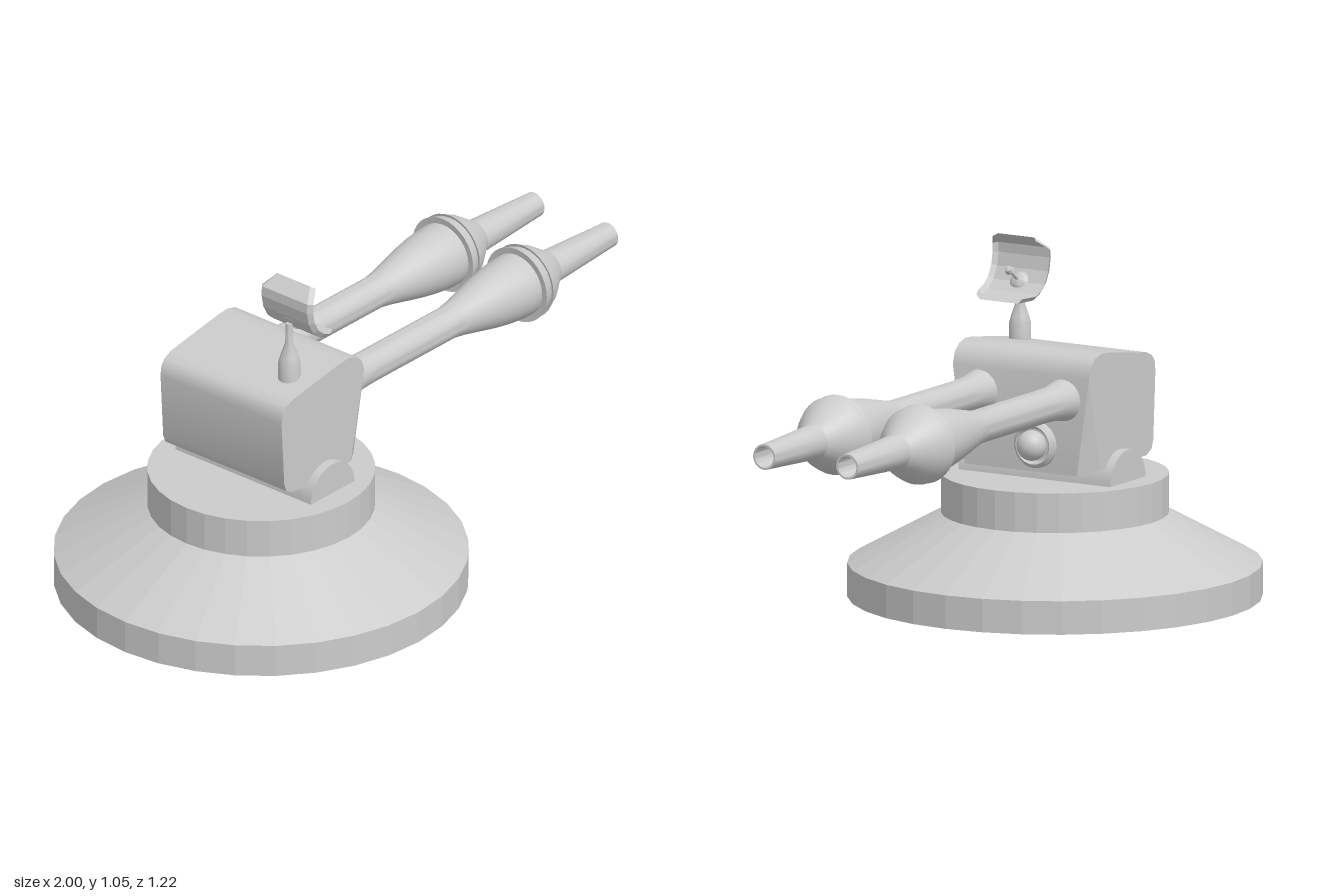
import * as THREE from 'three';
import { toCreasedNormals } from 'three/addons/utils/BufferGeometryUtils.js';

const smooth = new THREE.MeshStandardMaterial({ color: 0xcccccc, side: THREE.DoubleSide });
const flat = new THREE.MeshStandardMaterial({ color: 0xcccccc, side: THREE.DoubleSide, flatShading: true });

function add(parent, name, geometry, material = smooth) {
  const mesh = new THREE.Mesh(geometry, material);
  mesh.name = name;
  parent.add(mesh);
  return mesh;
}

// Lathe from [radius, height] pairs, with creases kept sharp
function turned(points, sides, crease = 0.5) {
  const profile = points.map(([r, h]) => new THREE.Vector2(r, h));
  return toCreasedNormals(new THREE.LatheGeometry(profile, sides), crease);
}

// Extrude an xy outline, centred on z = 0
function slab(points, width) {
  const shape = new THREE.Shape(points.map(([x, y]) => new THREE.Vector2(x, y)));
  const g = new THREE.ExtrudeGeometry(shape, { depth: width, bevelEnabled: false });
  return g.translate(0, 0, -width / 2);
}

// Bent sheet with folded side lips; rows are [x, y, half width]
function dishGeometry(rows, focus) {
  const positions = [], indices = [];
  rows.forEach(([x, y, w]) => {
    const toFocus = focus.clone().sub(new THREE.Vector2(x, y)).normalize().multiplyScalar(0.014);
    for (const [z, lip] of [[-w, 1], [-w + 0.012, 0], [w - 0.012, 0], [w, 1]]) {
      positions.push(x + toFocus.x * lip, y + toFocus.y * lip, z);
    }
  });
  for (let i = 0; i < rows.length - 1; i++) {
    for (let j = 0; j < 3; j++) {
      const a = i * 4 + j, b = a + 4;
      indices.push(a, a + 1, b, a + 1, b + 1, b);
    }
  }
  const g = new THREE.BufferGeometry();
  g.setAttribute('position', new THREE.Float32BufferAttribute(positions, 3));
  g.setIndex(indices);
  g.computeVertexNormals();
  return g;
}

export function createModel() {
  const model = new THREE.Group();
  model.name = 'turret';

  // Stepped round base
  const base = add(model, 'base', turned([
    [0, 0], [0.61, 0], [0.61, 0.1], [0.335, 0.25], [0.335, 0.368], [0, 0.368],
  ], 32, 0.01), flat);
  base.position.x = -0.39;

  // Half-round pivot running under the housing
  const arc = [];
  for (let i = 0; i <= 16; i++) {
    const a = (i / 16) * Math.PI;
    arc.push([-0.373 + 0.098 * Math.cos(a), 0.366 + 0.098 * Math.sin(a)]);
  }
  add(model, 'pivot', toCreasedNormals(slab(arc, 0.525), 0.5));

  // Housing, its lower front corners drawn inwards
  const housing = slab([
    [-0.2, 0.405], [-0.2, 0.7], [-0.212, 0.735], [-0.235, 0.755], [-0.27, 0.765], [-0.31, 0.762],
    [-0.52, 0.728], [-0.55, 0.715], [-0.566, 0.695], [-0.57, 0.665],
    [-0.558, 0.46], [-0.548, 0.435], [-0.52, 0.42], [-0.26, 0.417],
  ], 0.47);
  const p = housing.attributes.position;
  for (let i = 0; i < p.count; i++) {
    if (p.getX(i) > -0.21 && p.getY(i) < 0.41) p.setZ(i, p.getZ(i) * 0.82);
  }
  add(model, 'housing', toCreasedNormals(housing, 0.6));

  // Twin barrels with bulge, collar and hollow muzzle
  const barrel = turned([
    [0, -0.22], [0.066, -0.22], [0.06, -0.19], [0.052, -0.14], [0.05, -0.08], [0.05, 0.28],
    [0.056, 0.32], [0.069, 0.38], [0.082, 0.44], [0.092, 0.5], [0.098, 0.56], [0.098, 0.59],
    [0.118, 0.588], [0.108, 0.622], [0.116, 0.62], [0.097, 0.662], [0.052, 0.73], [0.038, 1],
    [0.032, 1], [0.026, 0.76], [0, 0.76],
  ], 32);
  barrel.rotateZ(-Math.PI / 2);
  for (const [name, z] of [['leftBarrel', -0.143], ['rightBarrel', 0.143]]) {
    add(model, name, barrel).position.set(0, 0.628, z);
  }

  // Sensor eye between the barrels
  const eye = new THREE.Group();
  eye.name = 'sensorEye';
  eye.position.set(-0.2, 0.488, -0.053);
  model.add(eye);
  const socket = turned([[0, -0.01], [0.07, -0.01], [0.07, 0.012], [0.058, 0.022], [0.048, 0.01], [0, 0.01]], 24);
  add(eye, 'socket', socket.rotateZ(-Math.PI / 2));
  add(eye, 'lens', new THREE.SphereGeometry(0.045, 24, 16)).position.x = 0.026;
  add(eye, 'indicator', new THREE.SphereGeometry(0.01, 12, 8)).position.set(0.016, 0.052, 0.036);

  // Antenna: mast, curved dish and feed
  const antenna = new THREE.Group();
  antenna.name = 'antenna';
  antenna.position.set(0, 0, 0.15);
  model.add(antenna);
  const mast = turned([[0.033, 0.72], [0.033, 0.79], [0.026, 0.815], [0.012, 0.855], [0.01, 0.92], [0, 0.92]], 16);
  add(antenna, 'mast', mast).position.x = -0.438;
  add(antenna, 'dish', dishGeometry([
    [-0.416, 1.055, 0.074], [-0.458, 1.02, 0.1], [-0.46, 0.99, 0.1], [-0.452, 0.95, 0.1],
    [-0.432, 0.914, 0.1], [-0.402, 0.889, 0.1], [-0.37, 0.877, 0.1], [-0.32, 0.873, 0.078],
  ], new THREE.Vector2(-0.33, 1.0)), flat);
  const feed = turned([
    [0.03, 0], [0.022, 0.008], [0.005, 0.014], [0.005, 0.058], [0.014, 0.064], [0.01, 0.078], [0, 0.082],
  ], 12);
  const feedMesh = add(antenna, 'feed', feed);
  feedMesh.position.set(-0.432, 0.918, 0);
  feedMesh.rotation.z = -0.95;

  return model;
}
